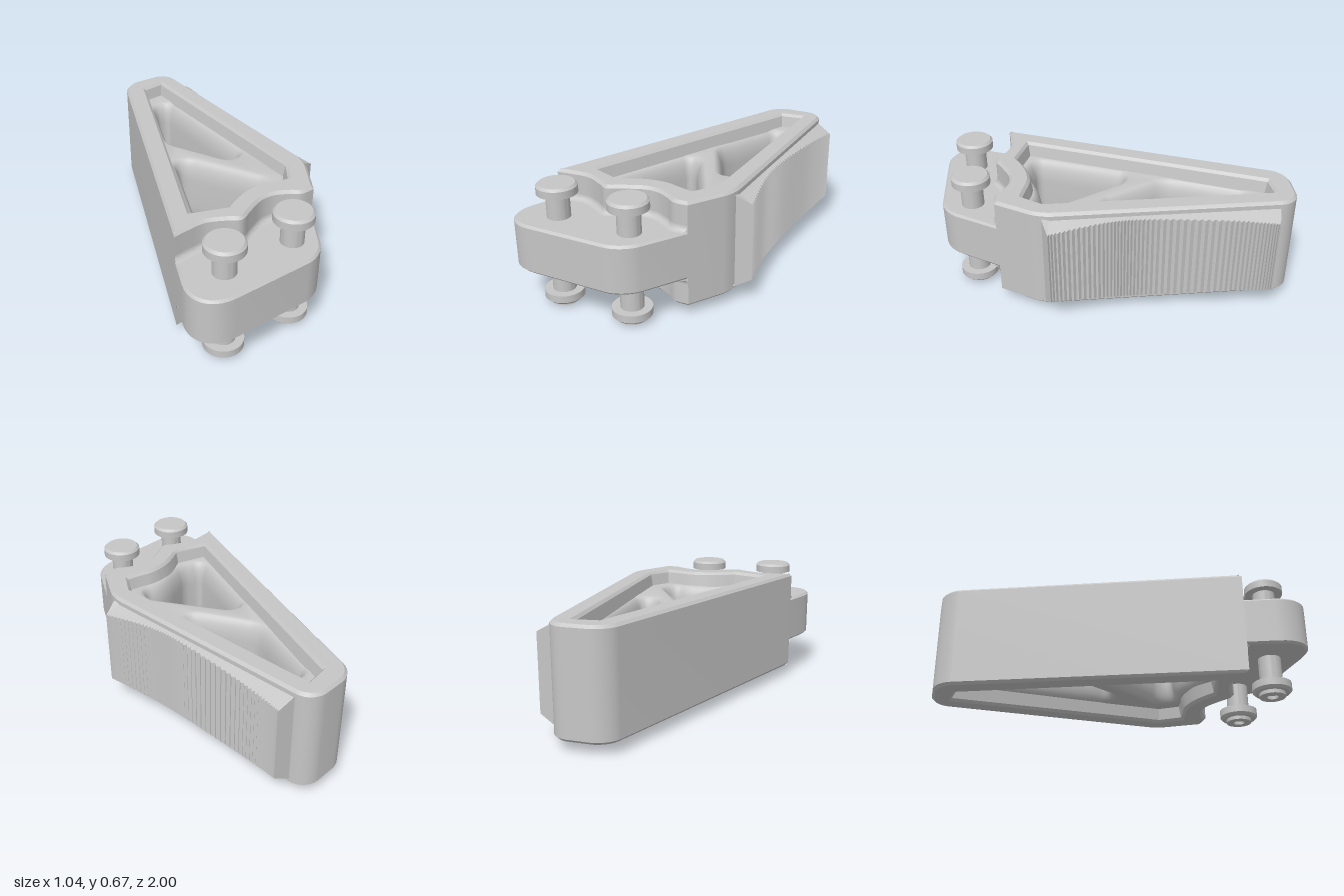
import * as THREE from 'three';
import { toCreasedNormals } from 'three/addons/utils/BufferGeometryUtils.js';

const grey = new THREE.MeshStandardMaterial({ color: 0xc6c6c6, side: THREE.DoubleSide });
const MID = 0.35; // mid height of the body
const V2 = (x, z) => new THREE.Vector2(x, z);

// Straight side lines shared by the frame and the tongue
const leftX = (z) => -0.082 - 0.243 * (z + 0.97);
const rightX = (z) => 0.442 - 0.4276 * (z - 0.33);

// Polygon of [x, z, r]; each corner is rounded over the tangent length r
function rounded(pts) {
  const out = [];
  pts.forEach(([x, z, r = 0], i) => {
    const c = V2(x, z);
    if (!r) return out.push(c);
    const toward = (p) => c.clone().add(V2(p[0] - x, p[1] - z).setLength(r));
    const a = toward(pts[(i + pts.length - 1) % pts.length]);
    const b = toward(pts[(i + 1) % pts.length]);
    const curve = new THREE.CubicBezierCurve(a, a.clone().lerp(c, 0.55), b.clone().lerp(c, 0.55), b);
    out.push(...curve.getPoints(10));
  });
  return out;
}

// Moves a closed outline inwards by d
function inset(pts, d) {
  const sign = THREE.ShapeUtils.isClockWise(pts) ? -1 : 1;
  const normal = (a, b) => V2(a.y - b.y, b.x - a.x).normalize().multiplyScalar(sign);
  return pts.map((p, i) => {
    const n1 = normal(pts[(i + pts.length - 1) % pts.length], p);
    const n2 = normal(p, pts[(i + 1) % pts.length]);
    return p.clone().addScaledVector(n1.clone().add(n2), d / (1 + n1.dot(n2)));
  });
}

// Extrudes a plan outline from y0 to y1; bevels cut into the solid, never into the holes
function slab(outline, holes, y0, y1, size, thick, segments) {
  const flip = (pts) => {
    const f = pts.map((p) => V2(p.x, -p.y));
    return THREE.ShapeUtils.isClockWise(f) ? f.reverse() : f;
  };
  const shape = new THREE.Shape(flip(outline));
  shape.holes = holes.map((h) => new THREE.Path(flip(h)));
  const geo = new THREE.ExtrudeGeometry(shape, {
    depth: y1 - y0 - 2 * thick, bevelEnabled: true, bevelSize: size,
    bevelOffset: -size, bevelThickness: thick, bevelSegments: segments,
  });
  geo.rotateX(-Math.PI / 2).translate(0, y0 + thick, 0);
  return toCreasedNormals(geo, 0.6);
}

// Skin over rows of [x, y, z] points
function loft(rows, closed, crease) {
  const n = rows[0].length, index = [];
  for (let i = 0; i < rows.length - 1; i++) {
    for (let j = 0; j < (closed ? n : n - 1); j++) {
      const a = i * n + j, b = i * n + (j + 1) % n;
      index.push(a, a + n, b, b, a + n, b + n);
    }
  }
  const geo = new THREE.BufferGeometry();
  geo.setAttribute('position', new THREE.Float32BufferAttribute(rows.flat(2), 3));
  geo.setIndex(index);
  return toCreasedNormals(geo, crease);
}

export function createModel() {
  const model = new THREE.Group();
  const add = (name, geo) => {
    const mesh = new THREE.Mesh(geo, grey);
    mesh.name = name;
    model.add(mesh);
    return mesh;
  };

  // Wavy front edge of the body, curving round the two pins
  const wave = new THREE.SplineCurve([
    V2(leftX(0.64), 0.64), V2(-0.39, 0.618), V2(-0.29, 0.602), V2(-0.19, 0.63), V2(-0.12, 0.655),
    V2(-0.05, 0.61), V2(0.04, 0.555), V2(0.12, 0.542), V2(0.2, 0.565), V2(0.26, 0.592), V2(rightX(0.58), 0.58),
  ]).getPoints(50);
  // The same edge moved by dz, its ends kept on the side lines
  const shiftedWave = (dz) => wave.map((p, i) => {
    const z = p.y + dz;
    if (i === 0) return V2(leftX(z), z);
    if (i === wave.length - 1) return V2(rightX(z), z);
    return V2(THREE.MathUtils.clamp(p.x, leftX(z), rightX(z)), z);
  });

  // Pocket opening
  const pocket = rounded([
    [0.005, -0.865], [0.14, -0.9], [0.335, 0.325], [0.27, 0.455], [0.2, 0.45, 0.03],
    [0.1, 0.435, 0.04], [0, 0.46, 0.04], [-0.08, 0.505, 0.03], [-0.14, 0.55], [-0.34, 0.51],
  ]);
  const lip = inset(pocket, 0.01);

  // Tall outer frame
  const outline = [
    ...rounded([
      [leftX(0.64), 0.64], [leftX(-0.97), -0.97, 0.09], [0.225, -1.01, 0.1],
      [rightX(0.33), 0.33, 0.065], [rightX(0.58), 0.58],
    ]).slice(1, -1),
    ...wave.slice().reverse(),
  ];
  add('frame', slab(outline, [lip], 0.06, 0.64, 0.015, 0.015, 1));

  // Recessed web with a rounded diagonal strut between two openings
  const backHole = rounded([
    [0.033, -0.735, 0.03], [0.108, -0.735, 0.03], [0.215, -0.01, 0.035],
    [0.15, 0, 0.025], [-0.06, -0.29, 0.04], [-0.055, -0.37, 0.035],
  ]);
  const frontHole = rounded([
    [-0.13, -0.06, 0.028], [-0.07, -0.05, 0.028], [0.2, 0.3, 0.035], [0.185, 0.375, 0.03],
    [0.1, 0.365, 0.035], [0.02, 0.385, 0.035], [-0.07, 0.43, 0.035], [-0.14, 0.465, 0.03], [-0.25, 0.44, 0.04],
  ]);
  add('web', slab(inset(pocket, -0.06), [backHole, frontHole], 0.14, 0.56, 0.052, 0.13, 8));

  // Sloped pocket walls, above and below
  const foot = inset(pocket, 0.04);
  for (const s of [1, -1]) {
    add('pocketWall', loft([
      lip.map((p) => [p.x, MID + s * 0.275, p.y]),
      foot.map((p) => [p.x, MID + s * 0.11, p.y]),
    ], true, 0.5));
  }

  // Tongue carrying the pins
  const tongue = [
    ...shiftedWave(-0.03),
    ...rounded([
      [rightX(0.58), 0.58], [0.194, 0.91, 0.1], [leftX(1.032), 1.032, 0.24], [leftX(0.64), 0.64],
    ]).slice(1, -1),
  ];
  add('tongue', slab(tongue, [], 0.22, 0.485, 0.012, 0.012, 1));

  // Fillets where the tongue meets the frame
  for (const s of [1, -1]) {
    const rows = [];
    for (let j = 0; j <= 5; j++) {
      const a = (j / 5) * Math.PI / 2, r = 0.03;
      const y = (s > 0 ? 0.485 : 0.22) + s * r * (1 - Math.cos(a));
      rows.push(shiftedWave(r * (1 - Math.sin(a))).map((p) => [p.x, y, p.y]));
    }
    add('fillet', loft(rows, false, 0.9));
  }

  // Ribbed grip on the side, with a hollow curve
  const sideX = (z) => 0.225 + (z + 1.01) * 0.162;
  const gripRow = (z, d) => {
    const inner = sideX(z) - 0.015, h = 0.258, top = h - 0.53 * d;
    return [[inner, MID - h, z], [sideX(z) + d, MID - top, z], [sideX(z) + d, MID + top, z], [inner, MID + h, z]];
  };
  const gripCurve = new THREE.SplineCurve([
    V2(-0.9, 0.335), V2(-0.66, 0.344), V2(-0.24, 0.382), V2(0, 0.426), V2(0.28, 0.519),
  ]);
  const gripRows = [gripRow(-0.91, 0)];
  const steps = 100;
  for (let i = 0; i <= steps; i++) {
    const p = gripCurve.getPoint(i / steps);
    gripRows.push(gripRow(p.x, p.y - sideX(p.x) - (i % 2) * 0.01));
  }
  gripRows.push(gripRow(0.32, 0));
  add('grip', loft(gripRows, false, 0.1));

  // Two headed pins, each with a socket in its lower end
  const profile = [
    [0, 0.018], [0.03, 0.018], [0.03, 0], [0.07, 0], [0.07, 0.02], [0.092, 0.02], [0.105, 0.033],
    [0.105, 0.073], [0.061, 0.073], [0.061, 0.617], [0.105, 0.617], [0.105, 0.657], [0.092, 0.67], [0, 0.67],
  ].map(([r, y]) => V2(r, y));
  const pinGeo = toCreasedNormals(new THREE.LatheGeometry(profile, 48), 0.5);
  for (const [x, z] of [[-0.3, 0.815], [0.11, 0.75]]) add('pin', pinGeo).position.set(x, 0, z);

  return model;
}
